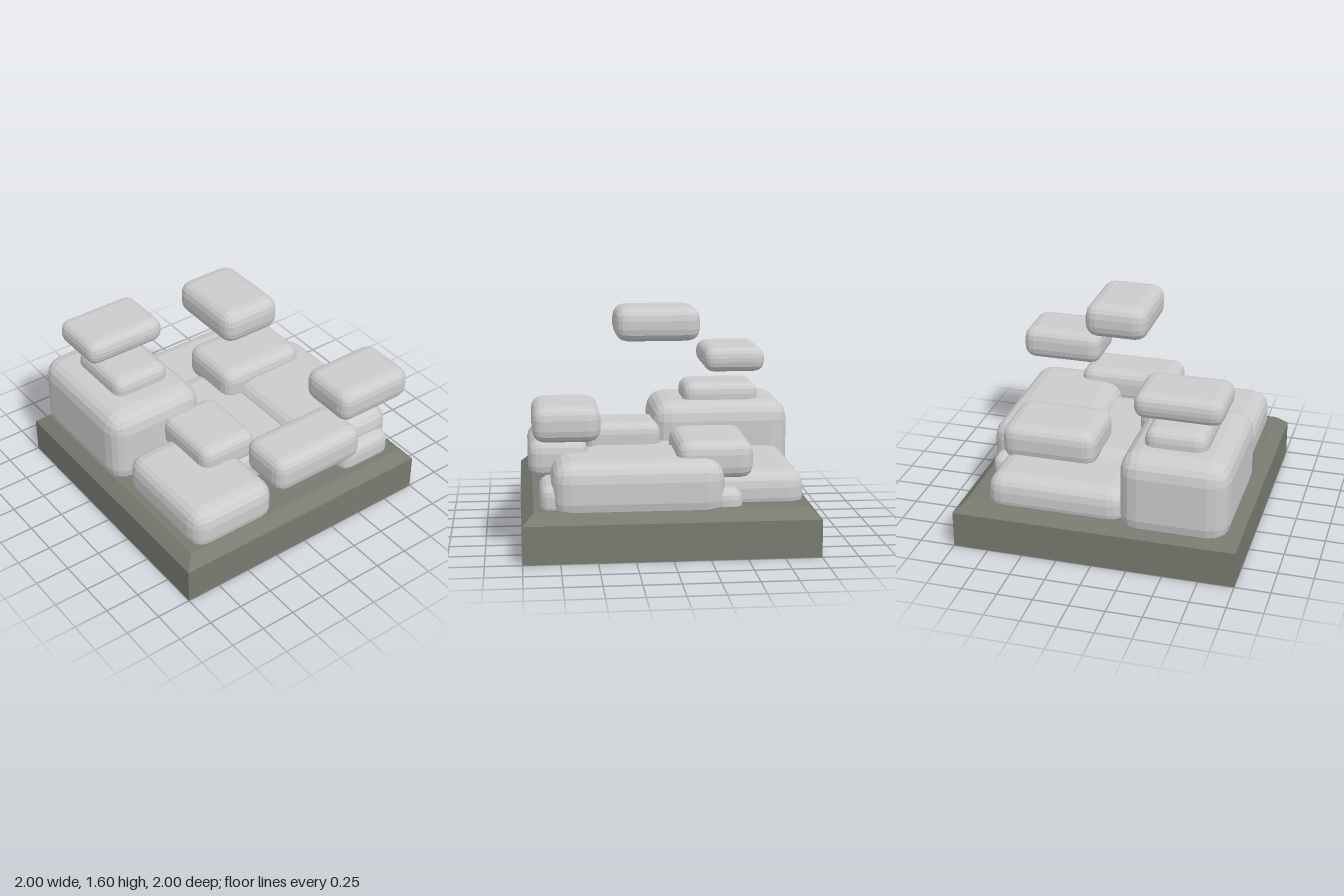
import * as THREE from 'three';
import { RoundedBoxGeometry } from 'three/addons/geometries/RoundedBoxGeometry.js';

const stoneMaterial = new THREE.MeshStandardMaterial({ color: 0xcccccc, flatShading: true });
const trayMaterial = new THREE.MeshStandardMaterial({ color: 0x787b70, flatShading: true, side: THREE.DoubleSide });

// A rounded stone filling the given x, y and z ranges
function stone(name, [x0, x1], [y0, y1], [z0, z1], radius) {
  const geometry = new RoundedBoxGeometry(x1 - x0, y1 - y0, z1 - z0, 2, radius);
  const mesh = new THREE.Mesh(geometry, stoneMaterial);
  mesh.position.set((x0 + x1) / 2, (y0 + y1) / 2, (z0 + z1) / 2);
  mesh.name = name;
  return mesh;
}

export function createModel() {
  const model = new THREE.Group();
  model.name = 'floatingStones';

  // Square plinth: a thin shell, open underneath, with a chamfered top edge
  const profile = [[0, 0.335], [0.92, 0.335], [1, 0.26], [1, 0]]
    .map(([r, y]) => new THREE.Vector2(r * Math.SQRT2, y)).reverse();
  const plinth = new THREE.Mesh(new THREE.LatheGeometry(profile, 4, Math.PI / 4), trayMaterial);
  plinth.name = 'plinth';
  model.add(plinth);

  // Ground layer, sunk through the plinth top
  const ground = new THREE.Group();
  ground.name = 'groundStones';
  ground.add(
    stone('boulder', [-0.98, 0.03], [0.25, 0.85], [0.17, 0.93], 0.14),
    stone('frontStone', [0.05, 0.92], [0.25, 0.585], [0.2, 0.87], 0.12),
    stone('backStone', [-0.36, 0.8], [0.25, 0.65], [-0.94, -0.21], 0.13),
    stone('sideStone', [-0.92, -0.2], [0.25, 0.54], [-0.78, 0.2], 0.11),
    stone('middleStone', [-0.46, 0.56], [0.25, 0.57], [-0.34, 0.41], 0.11),
    stone('cornerStone', [0.45, 0.88], [0.27, 0.5], [-0.88, -0.44], 0.08),
    stone('pebble', [-0.48, -0.28], [0.27, 0.45], [-0.9, -0.65], 0.07),
  );
  model.add(ground);

  // Stones resting on the ground layer
  const upper = new THREE.Group();
  upper.name = 'upperStones';
  upper.add(
    stone('boulderCap', [-0.77, -0.21], [0.75, 0.97], [0.3, 0.74], 0.08),
    stone('centreSlab', [-0.02, 0.53], [0.48, 0.725], [0.07, 0.52], 0.08),
    stone('backSlab', [-0.57, -0.05], [0.49, 0.755], [-0.79, -0.1], 0.09),
    stone('sideSlab', [0.54, 0.95], [0.465, 0.735], [-0.545, 0.2], 0.09),
  );
  model.add(upper);

  // Stones hovering above
  const floating = new THREE.Group();
  floating.name = 'hoveringStones';
  floating.add(
    stone('lowHoveringStone', [0.475, 0.925], [0.8, 1.04], [-0.98, -0.375], 0.085),
    stone('midHoveringStone', [-0.81, -0.36], [1.06, 1.24], [0.235, 0.85], 0.075),
    stone('topHoveringStone', [-0.27, 0.33], [1.36, 1.6], [-0.265, 0.185], 0.09),
  );
  model.add(floating);

  return model;
}
